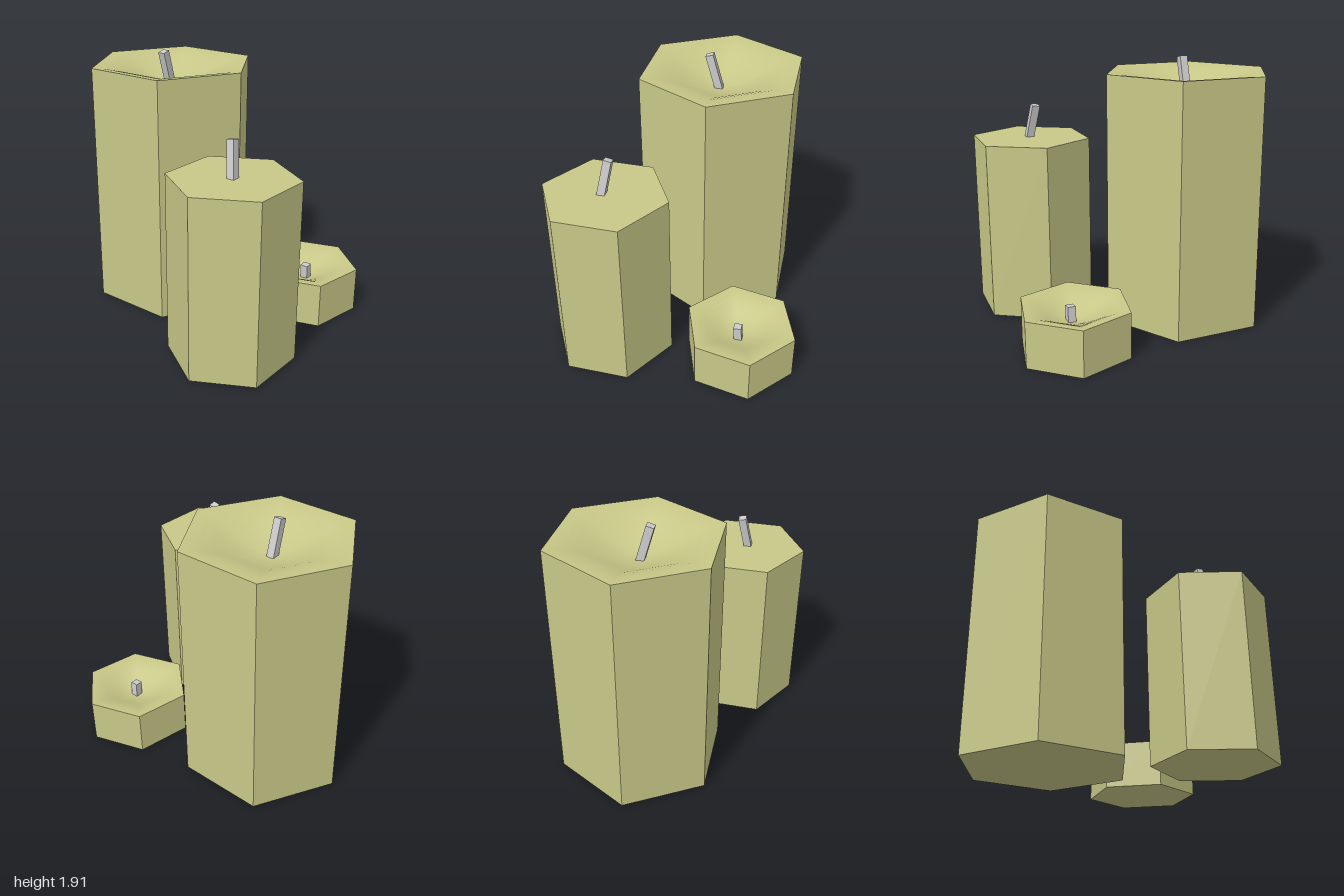
import * as THREE from 'three';
import { mergeVertices } from 'three/addons/utils/BufferGeometryUtils.js';

const wax = new THREE.MeshStandardMaterial({ color: 0xc8c888 });
const waxFlat = new THREE.MeshStandardMaterial({ color: 0xc8c888, flatShading: true });
const wickMat = new THREE.MeshStandardMaterial({ color: 0xcccccc, flatShading: true });

function mesh(name, geometry, material) {
  const m = new THREE.Mesh(geometry, material);
  m.name = name;
  return m;
}

// Hexagonal top, sunk towards the middle by a smooth falloff
function topGeometry(radius, dip) {
  if (!dip) return new THREE.CircleGeometry(radius, 6).rotateX(-Math.PI / 2);
  const ring = new THREE.RingGeometry(0, radius, 6, 8).rotateX(-Math.PI / 2);
  const pos = ring.attributes.position;
  for (let i = 0; i < pos.count; i++) {
    const layer = Math.floor(i / 7) / 8;
    pos.setY(i, -dip * (1 + Math.cos(Math.PI * layer)) / 2);
  }
  ring.deleteAttribute('normal');
  ring.deleteAttribute('uv');
  const bowl = mergeVertices(ring);
  bowl.computeVertexNormals();
  return bowl;
}

// Square wick leaning from a base point to a tip point
function wick(from, to) {
  const a = new THREE.Vector3(...from), b = new THREE.Vector3(...to);
  const dir = b.clone().sub(a);
  const m = mesh('wick', new THREE.BoxGeometry(0.056, dir.length(), 0.056), wickMat);
  m.position.copy(a).add(b).multiplyScalar(0.5);
  m.quaternion.setFromUnitVectors(new THREE.Vector3(0, 1, 0), dir.normalize());
  return m;
}

function candle({ name, x, z, radius, bottom, top, turn, dip, wickFrom, wickTo }) {
  const group = new THREE.Group();
  group.name = name;
  const body = new THREE.Group();
  body.name = 'waxBody';
  body.position.set(x, 0, z);
  body.rotation.y = THREE.MathUtils.degToRad(turn);

  const height = top - bottom;
  const side = mesh('waxSides',
    new THREE.CylinderGeometry(radius, radius, height, 6, 1, true, Math.PI / 2), waxFlat);
  side.position.y = bottom + height / 2;
  const base = mesh('waxBase', new THREE.CircleGeometry(radius, 6).rotateX(Math.PI / 2), waxFlat);
  base.position.y = bottom;
  const cap = mesh('waxTop', topGeometry(radius, dip), wax);
  cap.position.y = top;

  body.add(side, base, cap);
  group.add(body, wick(wickFrom, wickTo));
  return group;
}

export function createModel() {
  const model = new THREE.Group();
  model.name = 'candles';
  model.add(
    candle({
      name: 'tallCandle', x: -0.383, z: -0.153, radius: 0.617, bottom: 0, top: 1.81,
      turn: 0, dip: 0.16, wickFrom: [-0.39, 1.63, -0.135], wickTo: [-0.39, 1.9, -0.057],
    }),
    candle({
      name: 'middleCandle', x: 0.605, z: 0.447, radius: 0.443, bottom: 0.01, top: 1.3,
      turn: 28.1, dip: 0, wickFrom: [0.613, 1.29, 0.465], wickTo: [0.573, 1.54, 0.415],
    }),
    candle({
      name: 'shortCandle', x: 0.615, z: -0.5, radius: 0.402, bottom: 0, top: 0.33,
      turn: 17.9, dip: 0.12, wickFrom: [0.64, 0.19, -0.492], wickTo: [0.64, 0.32, -0.483],
    }),
  );
  return model;
}
